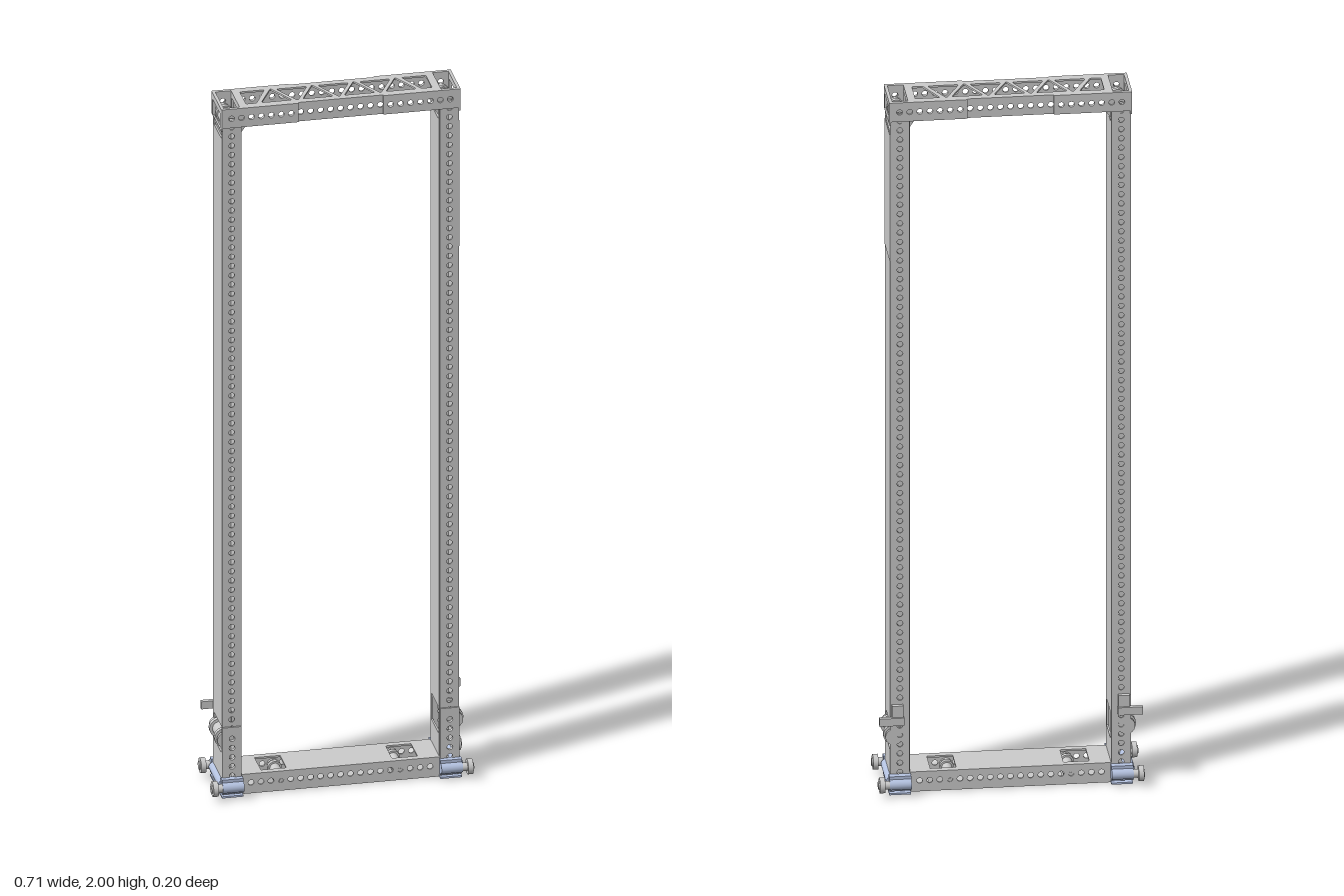
import * as THREE from 'three';

const P = 0.02694, T = 0.005, HOLE = 0.0078;      // hole pitch, sheet thickness, hole radius
const grey = new THREE.MeshStandardMaterial({ color: 0xcccccc });
const blue = new THREE.MeshStandardMaterial({ color: 0xb4c2e0 });

function add(parent, name, geometry, x = 0, y = 0, z = 0, material = grey) {
  const mesh = new THREE.Mesh(geometry, material);
  mesh.name = name;
  mesh.position.set(x, y, z);
  parent.add(mesh);
  return mesh;
}

const box = (w, h, d) => new THREE.BoxGeometry(w, h, d);
const rodX = (r, len) => new THREE.CylinderGeometry(r, r, len, 24).rotateZ(Math.PI / 2);
const rodZ = (r, len) => new THREE.CylinderGeometry(r, r, len, 24).rotateX(Math.PI / 2);
const circle = (x, y, r = HOLE) => new THREE.Path().absarc(x, y, r, 0, Math.PI * 2, true);
const polygon = pts => new THREE.Path(pts.map(p => new THREE.Vector2(...p)));
const rect = (u0, u1, v0, v1) => polygon([[u0, v0], [u0, v1], [u1, v1], [u1, v0]]);

// Polygon with rounded corners
function rounded(pts, r) {
  const path = new THREE.Path(), v = pts.map(p => new THREE.Vector2(...p)), n = v.length;
  v.forEach((c, i) => {
    const a = v[(i + n - 1) % n].clone().sub(c).setLength(r).add(c);
    const b = v[(i + 1) % n].clone().sub(c).setLength(r).add(c);
    if (i) path.lineTo(a.x, a.y); else path.moveTo(a.x, a.y);
    path.quadraticCurveTo(c.x, c.y, b.x, b.y);
  });
  path.closePath();
  return path;
}

// Sheet in the XY plane, centred on its thickness
function sheet(u0, u1, v0, v1, holes = []) {
  const shape = new THREE.Shape([[u0, v0], [u1, v0], [u1, v1], [u0, v1]].map(p => new THREE.Vector2(...p)));
  shape.holes = holes;
  return new THREE.ExtrudeGeometry(shape, { depth: T, bevelEnabled: false, curveSegments: 10 })
    .translate(0, 0, -T / 2);
}
const sideSheet = (...a) => sheet(...a).rotateY(-Math.PI / 2);  // u = z, v = y
const flatSheet = (...a) => sheet(...a).rotateX(Math.PI / 2);   // u = x, v = z

function rowOfHoles(from, to, y) {
  const holes = [];
  for (let i = from; i <= to; i++) holes.push(circle(i * P, y));
  return holes;
}

// Roller between two pairs of cheeks, lying along z
function roller(parent, name, x, y, r, cheekR) {
  const g = new THREE.Group();
  g.name = name;
  g.position.set(x, y, 0);
  add(g, 'rollerBarrel', rodZ(r, 0.056));
  add(g, 'rollerPin', rodZ(r * 0.4, 0.112));
  for (const s of [1, -1]) {
    add(g, 'innerCheek', rodZ(cheekR, 0.012), 0, 0, s * 0.032);
    add(g, 'outerCheek', rodZ(cheekR * 0.85, 0.009), 0, 0, s * 0.05);
  }
  parent.add(g);
}

function upright(root, s) {
  const g = new THREE.Group();
  g.name = s > 0 ? 'leftUpright' : 'rightUpright';
  root.add(g);
  const cx = s * 0.295;

  // Perforated front and back faces
  const holes = [];
  for (let i = 0; i <= 72; i++) holes.push(circle(0, 0.032 + i * P));
  for (const z of [1, -1]) add(g, 'perforatedFace', sheet(-0.026, 0.026, 0, 2, holes), cx, 0, z * 0.0555);

  // Plain side walls with a roller window near each end
  const windows = [rect(-0.046, 0.046, 0.122, 0.198), rect(-0.046, 0.046, 1.91, 1.982)];
  for (const x of [0.2705, 0.318]) add(g, 'sideWall', sideSheet(-0.053, 0.053, 0, 2, windows), s * x, 0, 0);
  if (s > 0) add(g, 'upperSkin', sideSheet(-0.057, 0.057, 1.54, 1.905), 0.3195, 0, 0);

  roller(g, 'topRoller', cx, 1.945, 0.02, 0.024);
  roller(g, 'lowerRoller', s * 0.31, 0.16, 0.019, 0.027);

  // Reinforcing plate on the lower front
  const lower = [];
  for (let i = 0; i < 6; i++) lower.push(circle(0, 0.032 + i * P));
  add(g, 'lowerPlate', sheet(-0.026, 0.026, 0.003, 0.2, lower), cx, 0, 0.0605);

  // Latch at the back with a tab that sticks out sideways
  add(g, 'latchBlock', box(0.03, 0.055, 0.012), s * 0.302, 0.228, -0.064);
  add(g, 'latchTab', box(0.066, 0.022, 0.012), s * 0.318, 0.212, -0.07);
}

function topBeam(root) {
  const g = new THREE.Group();
  g.name = 'topBeam';
  root.add(g);

  // Truss plate: triangles between two end trapezoids, open over the uprights
  const holes = [];
  for (let i = -3; i <= 3; i++) {
    const x = i * 0.0563, k = i % 2 ? 1 : -1;
    holes.push(rounded([[x - 0.042, k * 0.038], [x + 0.042, k * 0.038], [x, -k * 0.044]], 0.008));
  }
  for (const s of [1, -1]) {
    holes.push(rounded([[s * 0.252, -0.04], [s * 0.186, -0.04], [s * 0.223, 0.038], [s * 0.252, 0.038]], 0.004));
  }
  add(g, 'trussPlate', flatSheet(-0.268, 0.268, -0.053, 0.053, holes), 0, 1.9975, 0);

  for (const z of [1, -1]) {
    add(g, 'perforatedRail', sheet(-0.269, 0.269, 1.945, 2, rowOfHoles(-9, 9, 1.972)), 0, 0, z * 0.0555);
    for (const s of [1, -1]) {
      const row = s > 0 ? rowOfHoles(5, 11, 1.972) : rowOfHoles(-11, -5, 1.972);
      const [a, b] = s > 0 ? [0.115, 0.323] : [-0.323, -0.115];
      add(g, 'cornerSleeve', sheet(a, b, 1.945, 2, row), 0, 0, z * 0.0605);

      // Small gusset in the inner corner
      const pts = [[s * 0.269, 1.945], [s * 0.252, 1.945], [s * 0.269, 1.92]];
      const shape = new THREE.Shape(pts.map(p => new THREE.Vector2(...p)));
      add(g, 'gusset', new THREE.ExtrudeGeometry(shape, { depth: 0.012, bevelEnabled: false }), 0, 0, z * 0.042 - 0.006);
    }
  }
  // Cap over the outer end, around the roller window
  for (const s of [1, -1]) {
    add(g, 'endCap', sideSheet(-0.062, 0.062, 1.936, 2, [rect(-0.046, 0.046, 1.938, 1.982)]), s * 0.3215, 0, 0);
  }
}

function bottomBeam(root) {
  const g = new THREE.Group();
  g.name = 'bottomBeam';
  root.add(g);

  // Closed box with one window near each end
  const windows = [1, -1].map(s => rect(...[s * 0.143, s * 0.212].sort((a, b) => a - b), -0.04, 0.04));
  for (const y of [0.0035, 0.0555]) add(g, 'beamPlate', flatSheet(-0.268, 0.268, -0.053, 0.053, windows), 0, y, 0);
  for (const z of [1, -1]) {
    add(g, 'perforatedRail', sheet(-0.269, 0.269, 0.001, 0.058, rowOfHoles(-9, 9, 0.032)), 0, 0, z * 0.0555);
  }
  for (const s of [1, -1]) {
    roller(g, 'beamRoller', s * 0.16, 0.029, 0.014, 0.019);
    add(g, 'uprightFoot', box(0.053, 0.006, 0.116), s * 0.295, 0.004, 0);
  }
}

// Blue axle carriers with a wheel at each corner
function wheelSet(root, s) {
  const g = new THREE.Group();
  g.name = s > 0 ? 'leftWheels' : 'rightWheels';
  root.add(g);
  for (const z of [1, -1]) {
    add(g, 'axleCarrier', box(0.058, 0.042, 0.018), s * 0.296, 0.034, z * 0.068, blue);
    add(g, 'axleSleeve', rodX(0.0145, 0.058), s * 0.296, 0.032, z * 0.077, blue);
    add(g, 'axle', rodX(0.0115, 0.06), s * 0.322, 0.032, z * 0.078);
    add(g, 'wheel', rodX(0.021, 0.014), s * 0.345, 0.032, z * 0.078);
    add(g, 'hub', rodX(0.011, 0.005), s * 0.353, 0.032, z * 0.078);
  }
  add(g, 'carrierPlate', box(0.058, 0.005, 0.15), s * 0.296, 0.0035, 0, blue);
  add(g, 'crossTube', rodZ(0.014, 0.12), s * 0.318, 0.034, 0, blue);
}

export function createModel() {
  const root = new THREE.Group();
  root.name = 'doorFrame';
  topBeam(root);
  bottomBeam(root);
  for (const s of [1, -1]) {
    upright(root, s);
    wheelSet(root, s);
  }
  return root;
}
